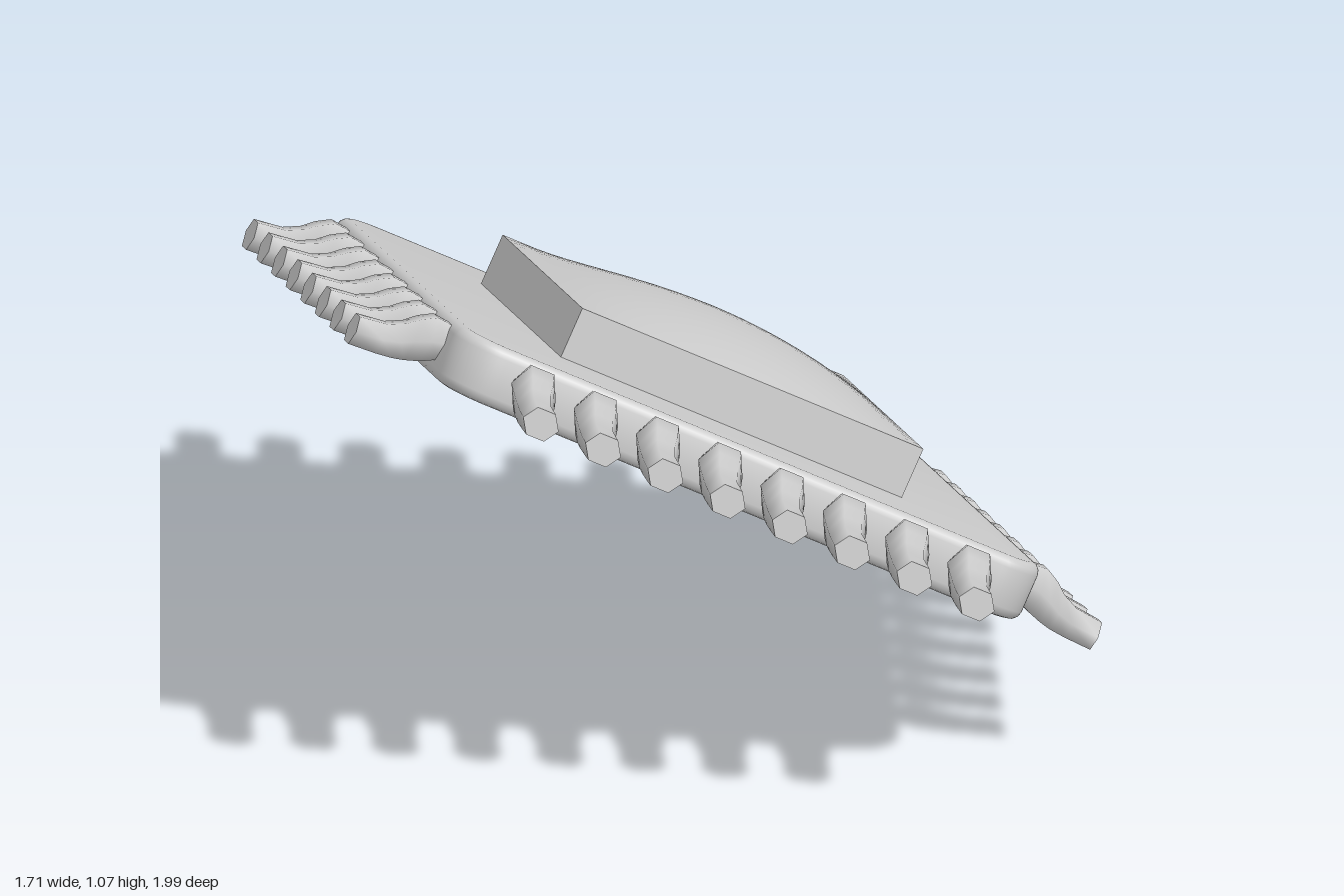
import * as THREE from 'three';
import { toCreasedNormals } from 'three/addons/utils/BufferGeometryUtils.js';

const material = new THREE.MeshStandardMaterial({ color: 0xcccccc });
const THICK = 0.124;

function addMesh(parent, name, geometry) {
  const mesh = new THREE.Mesh(geometry, material);
  mesh.name = name;
  parent.add(mesh);
  return mesh;
}

// Rounded square slab with a small bevel, lying on y = 0
function slabGeometry(half, radius, bevel) {
  const s = half - bevel, r = radius - bevel, c = s - r;
  const shape = new THREE.Shape();
  [[c, c], [-c, c], [-c, -c], [c, -c]].forEach(([x, y], i) =>
    shape.absarc(x, y, r, i * Math.PI / 2, (i + 1) * Math.PI / 2, false));
  const geo = new THREE.ExtrudeGeometry(shape, {
    depth: THICK - 2 * bevel, bevelThickness: bevel, bevelSize: bevel,
    bevelSegments: 3, curveSegments: 8,
  });
  geo.translate(0, 0, bevel).rotateX(-Math.PI / 2);
  return toCreasedNormals(geo, 0.7);
}

// Hexagonal bent pin running along +z: [z, centre height, half width, half height]
function pinGeometry() {
  const rings = [
    [0.60, 0.074, 0.034, 0.034], [0.655, 0.074, 0.037, 0.038],
    [0.69, 0.068, 0.050, 0.048], [0.72, 0.055, 0.046, 0.045],
    [0.745, 0.042, 0.040, 0.038], [0.78, 0.032, 0.037, 0.032],
    [0.84, 0.027, 0.040, 0.030],
  ];
  const pos = [], index = [], n = 6;
  const ring = ([z, y, w, h]) => {
    for (let k = 0; k < n; k++) {
      const a = k * 2 * Math.PI / n;
      pos.push(w * Math.cos(a), y + h * Math.sin(a) / 0.866, z);
    }
  };
  rings.forEach(ring);
  for (let i = 0; i < rings.length - 1; i++) {
    for (let k = 0; k < n; k++) {
      const a = i * n + k, b = i * n + (k + 1) % n;
      index.push(a, b, b + n, a, b + n, a + n);
    }
  }
  // Flat tip
  const cap = rings.length * n;
  ring(rings[rings.length - 1]);
  for (let k = 1; k < n - 1; k++) index.push(cap, cap + k, cap + k + 1);
  const geo = new THREE.BufferGeometry();
  geo.setAttribute('position', new THREE.Float32BufferAttribute(pos, 3));
  geo.setIndex(index);
  geo.computeVertexNormals();
  return geo;
}

// Square cap bulging towards its centre
function domeGeometry(half, height) {
  const geo = new THREE.PlaneGeometry(2 * half, 2 * half, 20, 20).rotateX(-Math.PI / 2);
  const p = geo.attributes.position;
  for (let i = 0; i < p.count; i++) {
    const x = p.getX(i) / half, z = p.getZ(i) / half;
    p.setY(i, height * (1 - x * x) * (1 - z * z));
  }
  geo.computeVertexNormals();
  return geo;
}

export function createModel() {
  const model = new THREE.Group();
  model.name = 'microchip';

  // Whole chip is turned about its own axis, then tipped towards +x
  const tilt = new THREE.Group();
  tilt.name = 'tiltedChip';
  tilt.position.set(-0.02, 0.515, 0);
  tilt.rotation.z = -THREE.MathUtils.degToRad(31.3);
  model.add(tilt);
  const chip = new THREE.Group();
  chip.name = 'chip';
  chip.rotation.y = -THREE.MathUtils.degToRad(30.3);
  tilt.add(chip);

  addMesh(chip, 'body', slabGeometry(0.66, 0.1, 0.022));

  // Raised core with a domed top
  const half = 0.386, wall = 0.108;
  addMesh(chip, 'coreWall', new THREE.BoxGeometry(2 * half, wall, 2 * half))
    .position.y = THICK + wall / 2;
  addMesh(chip, 'coreDome', domeGeometry(half, 0.062)).position.y = THICK + wall;

  // Eight pins on each of the four sides
  const pin = pinGeometry();
  for (let side = 0; side < 4; side++) {
    const row = new THREE.Group();
    row.name = 'pinRow';
    row.rotation.y = side * Math.PI / 2;
    for (let i = 0; i < 8; i++) addMesh(row, 'pin', pin).position.x = (i - 3.5) * 0.141;
    chip.add(row);
  }
  return model;
}
